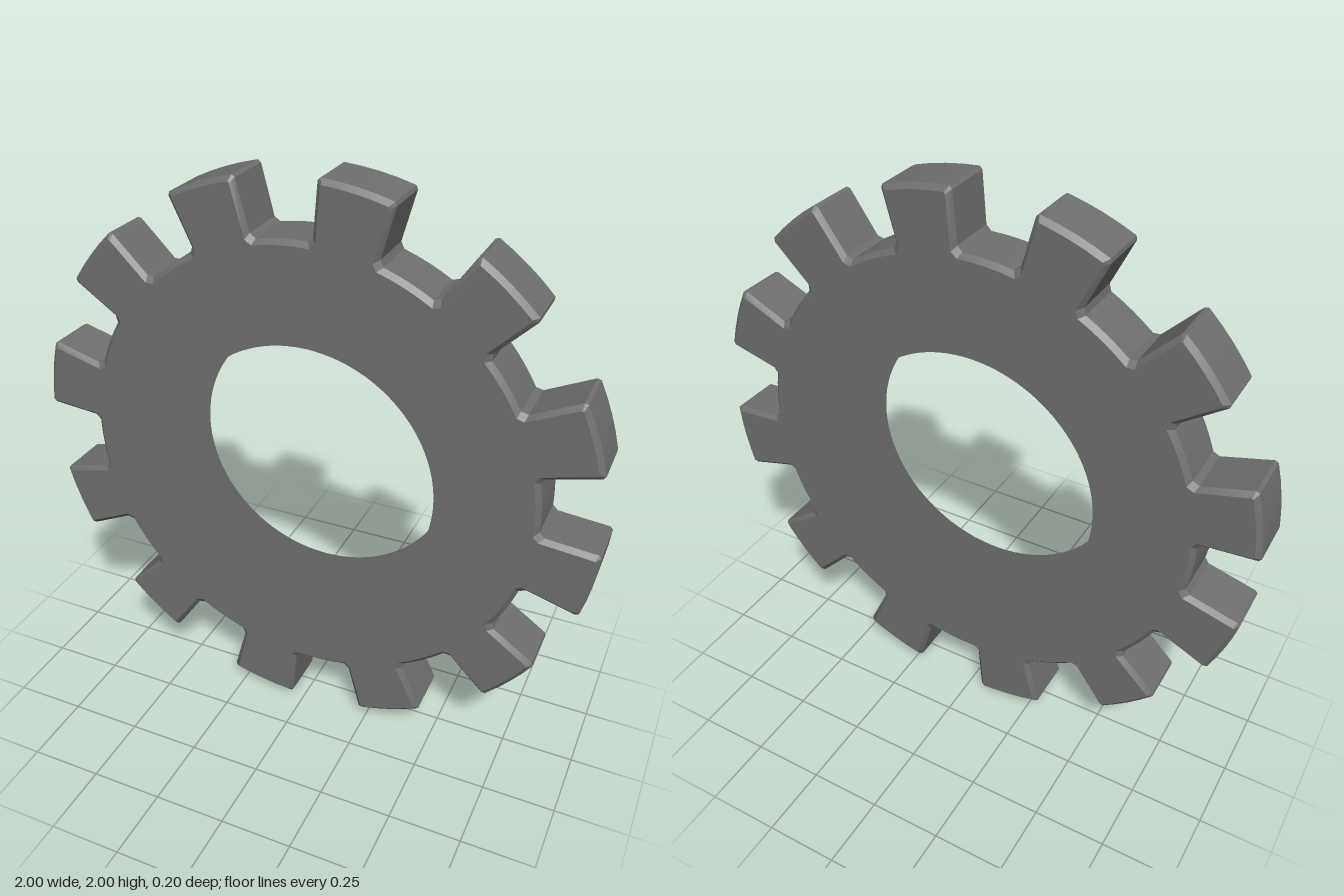
import * as THREE from 'three';
import { toCreasedNormals } from 'three/addons/utils/BufferGeometryUtils.js';

const TEETH = 12;
const PHASE = 20;      // angle of the first tooth, degrees
const BORE = 0.46;
const HALF = 0.102;    // half thickness
const BEVEL = 0.016;

// Half of one tooth from its middle to the middle of the gap:
// [angle, radius] of the outer wall, [angle, radius] of the bevelled face edge
const HALF_TOOTH = [
  [0, 1.0, 0, 1 - BEVEL],
  [3.3, 1.0, 3.1, 1 - BEVEL],
  [6.7, 1.0, 6.1, 1 - BEVEL],
  [7.2, 0.99, 6.3, 0.978],
  [7.6, 0.82, 6.6, 0.805],
  [8.8, 0.802, 7.9, 0.802 - BEVEL],
  [11.9, 0.802, 11.5, 0.802 - BEVEL],
  [15, 0.802, 15, 0.802 - BEVEL],
];

function outline() {
  const mirrored = HALF_TOOTH.slice(1, -1).reverse().map(([a, r, b, s]) => [-a, r, -b, s]);
  const tooth = [...mirrored, ...HALF_TOOTH];
  const points = [];
  for (let t = 0; t < TEETH; t++) {
    const turn = PHASE + (t * 360) / TEETH;
    for (const [a, r, b, s] of tooth) points.push([a + turn, r, b + turn, s]);
  }
  return points;
}

// Loft rings from the front hole over the toothed rim to the back hole;
// the hole has no inner wall, so the shell stays open there
function gearGeometry() {
  const points = outline();
  const n = points.length;
  const bore = ([a]) => [a, BORE];
  const edge = ([, , b, s]) => [b, s];
  const wall = ([a, r]) => [a, r];
  const rings = [
    [bore, HALF], [edge, HALF], [wall, HALF - BEVEL],
    [wall, BEVEL - HALF], [edge, -HALF], [bore, -HALF],
  ];
  const positions = [];
  const index = [];
  rings.forEach(([pick, z], k) => {
    points.forEach((p, i) => {
      const [angle, radius] = pick(p);
      const a = THREE.MathUtils.degToRad(angle);
      positions.push(radius * Math.cos(a), radius * Math.sin(a), z);
      if (k === rings.length - 1) return;
      const j = (i + 1) % n;
      const q = [k * n + i, (k + 1) * n + i, (k + 1) * n + j, k * n + j];
      index.push(q[0], q[1], q[2], q[0], q[2], q[3]);
    });
  });
  const geometry = new THREE.BufferGeometry();
  geometry.setAttribute('position', new THREE.Float32BufferAttribute(positions, 3));
  geometry.setIndex(index);
  return toCreasedNormals(geometry, 0.45);
}

export function createModel() {
  const group = new THREE.Group();
  group.name = 'gear';
  const material = new THREE.MeshStandardMaterial({ color: 0x6f6f6f, side: THREE.DoubleSide });
  const wheel = new THREE.Mesh(gearGeometry(), material);
  wheel.name = 'toothedRing';
  wheel.position.y = 1;
  group.add(wheel);
  return group;
}
